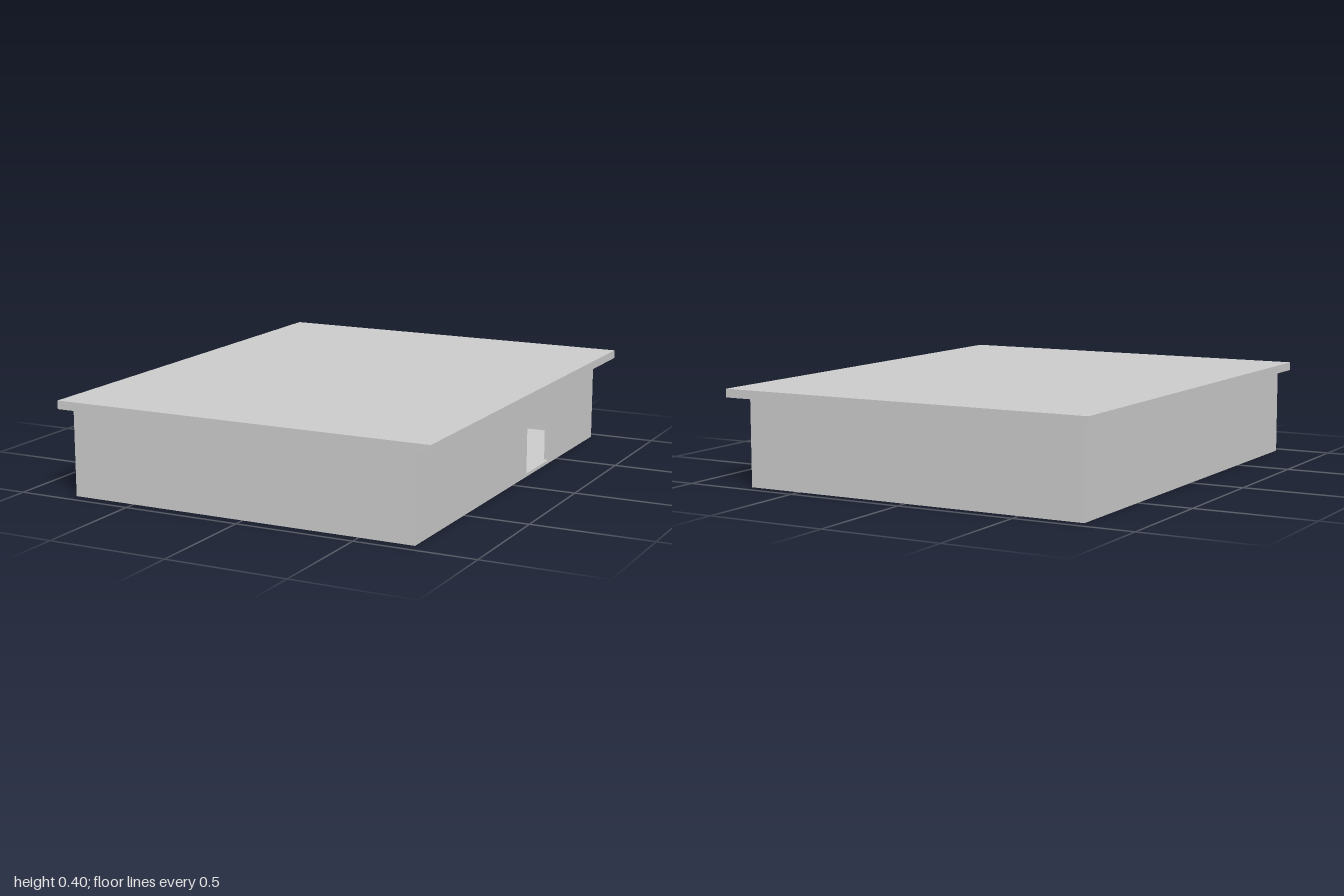
import * as THREE from 'three';

export function createModel() {
  const model = new THREE.Group();
  const material = new THREE.MeshStandardMaterial({ color: 0xcccccc, flatShading: true });

  function add(name, geometry, parent = model) {
    const mesh = new THREE.Mesh(geometry, material);
    mesh.name = name;
    parent.add(mesh);
    return mesh;
  }

  // Box given by its lowest and highest corners
  function box(name, [x0, y0, z0], [x1, y1, z1], parent) {
    const mesh = add(name, new THREE.BoxGeometry(x1 - x0, y1 - y0, z1 - z0), parent);
    mesh.position.set((x0 + x1) / 2, (y0 + y1) / 2, (z0 + z1) / 2);
    return mesh;
  }

  const left = -0.772, right = 0.73, depth = 0.95;
  const floorTop = 0.01, wallTop = 0.365, thick = 0.02;

  // Flat overhanging roof and thin floor slab
  box('roof', [-0.812, wallTop, -1], [0.812, 0.4, 1]);
  box('floor', [left, 0, -depth], [right, floorTop, depth]);

  // Three plain walls
  box('frontWall', [left, floorTop, depth - thick], [right, wallTop, depth]);
  box('backWall', [left, floorTop, -depth], [right, wallTop, -depth + thick]);
  box('plainSideWall', [left, floorTop, -depth + thick], [left + thick, wallTop, depth - thick]);

  // Side wall with the opening; the shape's x runs along -z
  const end = depth - thick;
  const wall = new THREE.Shape();
  wall.moveTo(-end, floorTop).lineTo(end, floorTop).lineTo(end, wallTop).lineTo(-end, wallTop).closePath();
  const hole = new THREE.Path();
  hole.moveTo(0.15, 0.014).lineTo(0.15, 0.21).lineTo(0.407, 0.21).lineTo(0.407, 0.014).closePath();
  wall.holes.push(hole);
  const openWall = add('wallWithOpening', new THREE.ExtrudeGeometry(wall, { depth: thick, bevelEnabled: false }));
  openWall.rotation.y = Math.PI / 2;
  openWall.position.x = right - thick;

  // Small pedestal table inside
  const table = new THREE.Group();
  table.name = 'table';
  table.position.set(-0.02, 0, -0.235);
  model.add(table);
  box('tableTop', [-0.045, 0.113, -0.045], [0.045, 0.125, 0.045], table);
  box('tableLeg', [-0.008, floorTop, -0.008], [0.008, 0.113, 0.008], table);

  return model;
}
